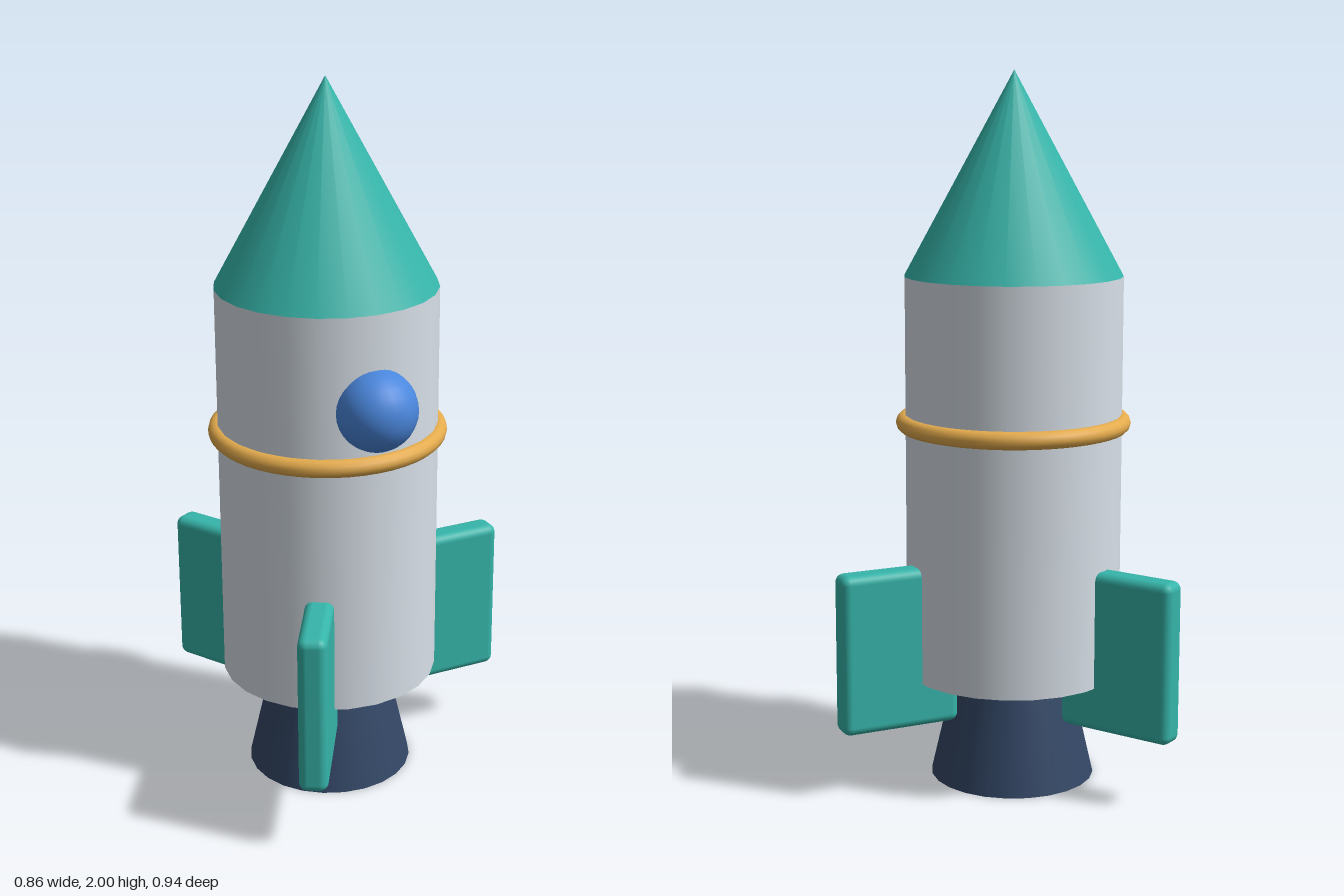
import * as THREE from 'three';
import { RoundedBoxGeometry } from 'three/addons/geometries/RoundedBoxGeometry.js';

const SIDES = 24;
const RADIUS = 0.305;

const paint = (color) => new THREE.MeshStandardMaterial({ color });

function addPart(parent, name, geometry, material, x = 0, y = 0, z = 0) {
  const mesh = new THREE.Mesh(geometry, material);
  mesh.name = name;
  mesh.position.set(x, y, z);
  parent.add(mesh);
  return mesh;
}

// Upright cylinder or frustum between two heights
function addRound(parent, name, rTop, rBottom, y0, y1, material) {
  const geometry = new THREE.CylinderGeometry(rTop, rBottom, y1 - y0, SIDES);
  return addPart(parent, name, geometry, material, 0, (y0 + y1) / 2, 0);
}

export function createModel() {
  const teal = paint(0x36b5aa);
  const white = paint(0xd8e0e8);
  const gold = paint(0xe5ac4d);
  const blue = paint(0x4a87dd);
  const navy = paint(0x334766);

  const rocket = new THREE.Group();
  rocket.name = 'rocket';
  // The single fin on +x shifts the hull axis off the overall centre
  rocket.position.x = -0.102;

  // Hull, nose and engine bell
  addRound(rocket, 'hull', RADIUS, RADIUS, 0.31, 1.44, white);
  addPart(rocket, 'noseCone', new THREE.ConeGeometry(RADIUS, 0.56, SIDES), teal, 0, 1.72, 0);
  addRound(rocket, 'engineNozzle', 0.16, 0.234, 0, 0.32, navy);

  // Trim ring around the hull
  const ring = new THREE.TorusGeometry(RADIUS, 0.025, 12, 48);
  addPart(rocket, 'trimRing', ring.rotateX(Math.PI / 2), gold, 0, 1.03, 0);

  // Bulging porthole on the front
  addPart(rocket, 'porthole', new THREE.SphereGeometry(0.111, 24, 16), blue, 0, 1.18, 0.3);

  // Three fins, evenly spaced
  const inner = 0.185, outer = 0.532;
  const finGeometry = new RoundedBoxGeometry(outer - inner, 0.455, 0.08, 3, 0.024);
  finGeometry.translate((inner + outer) / 2, 0.4125, 0);
  for (let i = 0; i < 3; i++) {
    const fin = addPart(rocket, `fin${i + 1}`, finGeometry, teal);
    fin.rotation.y = (i * Math.PI * 2) / 3;
  }

  const model = new THREE.Group();
  model.add(rocket);
  return model;
}
